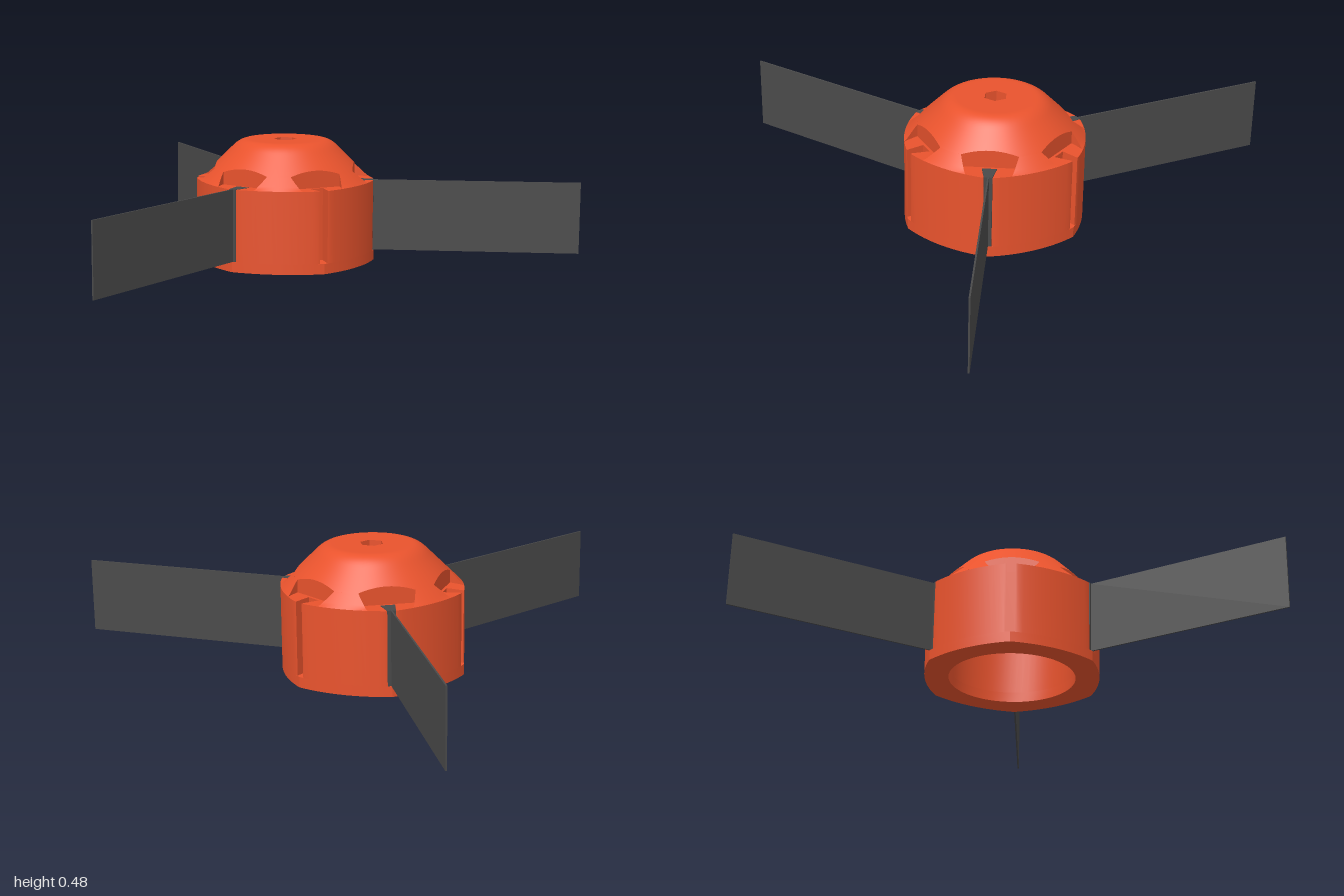
import * as THREE from 'three';
import { toCreasedNormals, mergeVertices } from 'three/addons/utils/BufferGeometryUtils.js';

const RAD = Math.PI / 180, SIXTH = Math.PI / 3;
const HUB_Z = -0.289, RIM_Y = 0.32, BASE_Y = 0.04;
const POCKET_R = 0.27, POCKET_IN = 21 * RAD, POCKET_OUT = 14 * RAD;

// angle from the nearest of the six corners (angles start at +z, towards +x)
const fromCorner = (t) => Math.abs(t - Math.round(t / SIXTH) * SIXTH);

// six-sided outline with bulging sides
function outline(t) {
  const p = SIXTH / 2 - fromCorner(t), d = 0.2, rho = 0.537;
  return -d * Math.cos(p) + Math.sqrt(rho * rho - (d * Math.sin(p)) ** 2);
}

// height of the cap: flat top, rounded shoulder, 45 degree slope
function capY(r) {
  if (r <= 0.15) return 0.478;
  if (r >= 0.205) return Math.max(RIM_Y, 0.657 - r);
  const k = (r - 0.15) / 0.055;
  return 0.478 - 0.026 * k * k;
}

const polar = (r, t, y) => [r * Math.sin(t), y, r * Math.cos(t)];

// surface from a rule f(u, v), facing du x dv
function surface(f, nu, nv) {
  const pos = [], idx = [];
  for (let i = 0; i <= nu; i++)
    for (let j = 0; j <= nv; j++) pos.push(...f(i / nu, j / nv));
  for (let i = 0; i < nu; i++)
    for (let j = 0; j < nv; j++) {
      const a = i * (nv + 1) + j, b = a + nv + 1;
      idx.push(a, b, a + 1, b, b + 1, a + 1);
    }
  const g = new THREE.BufferGeometry();
  g.setAttribute('position', new THREE.Float32BufferAttribute(pos, 3));
  g.setIndex(idx);
  const merged = mergeVertices(g, 1e-5);
  merged.computeVertexNormals();
  return merged;
}

// plan outline with the round bore, optionally with the six dovetail slots
function hubShape(slots) {
  const pts = [];
  for (let k = 0; k < 6; k++) {
    const c = k * SIXTH;
    const at = (side, out) => new THREE.Vector2(
      out * Math.sin(c) + side * Math.cos(c), out * Math.cos(c) - side * Math.sin(c));
    if (slots) pts.push(at(-0.016, 0.349), at(-0.028, 0.28), at(0.028, 0.28), at(0.016, 0.349));
    else pts.push(at(0, outline(0)));
    for (let j = 1; j < 16; j++) {
      const t = c + (4 + (j - 1) * 52 / 14) * RAD;
      const r = outline(t);
      pts.push(new THREE.Vector2(r * Math.sin(t), r * Math.cos(t)));
    }
  }
  const shape = new THREE.Shape(pts);
  shape.holes.push(new THREE.Path().absarc(0, 0, 0.245, 0, Math.PI * 2, true));
  return shape;
}

// extrude a plan shape (x, z) between two heights
function slab(shape, y0, y1) {
  const g = new THREE.ExtrudeGeometry(shape, { depth: y1 - y0, bevelEnabled: false, curveSegments: 32 });
  g.rotateX(Math.PI / 2).translate(0, y1, 0);
  return g;
}

export function createModel() {
  const model = new THREE.Group();
  model.name = 'finnedHub';
  const orange = new THREE.MeshStandardMaterial({ color: 0xe9532d, side: THREE.DoubleSide });
  const dark = new THREE.MeshStandardMaterial({ color: 0x4a4a4a });

  const hub = new THREE.Group();
  hub.name = 'hub';
  hub.position.z = HUB_Z;
  model.add(hub);
  const add = (name, geo, mat = orange, parent = hub) => {
    const m = new THREE.Mesh(geo, mat);
    m.name = name;
    parent.add(m);
    return m;
  };

  // ring walls
  add('baseRing', toCreasedNormals(slab(hubShape(false), 0, BASE_Y), 0.3));
  add('slottedRing', toCreasedNormals(slab(hubShape(true), BASE_Y, RIM_Y), 0.3));

  // cap, from the hexagonal hole out to the pocket backs
  const edge = (t) => POCKET_R / Math.cos(Math.min(fromCorner(t), POCKET_IN));
  add('cap', surface((u, v) => {
    const t = v * Math.PI * 2;
    const hole = 0.039 / Math.cos(SIXTH / 2 - fromCorner(t));
    const r = hole + (edge(t) - hole) * u;
    return polar(r, t, capY(r));
  }, 28, 120));

  // six ribs between six pockets
  const ribInner = POCKET_R / Math.cos(POCKET_IN);
  const ribPoint = (u, s) => {
    const a = POCKET_IN + (POCKET_OUT - POCKET_IN) * u;
    const t = a + (SIXTH - 2 * a) * s;
    return [ribInner + (outline(t) - ribInner) * u, t];
  };
  const rib = surface((u, v) => {
    const [r, t] = ribPoint(u, v);
    return polar(r, t, capY(r));
  }, 6, 16);
  const pocketBack = surface((u, v) => {
    const t = (2 * v - 1) * POCKET_IN, r = edge(t);
    return polar(r, t, capY(r) + (RIM_Y - capY(r)) * u);
  }, 1, 14);
  const pocketSide = (s) => surface((u, v) => {
    const [r, t] = ribPoint(u, s);
    const w = s ? v : 1 - v;
    return polar(r, t, RIM_Y + (capY(r) - RIM_Y) * (1 - w));
  }, 6, 1);
  const sides = [pocketSide(0), pocketSide(1)];
  for (let k = 0; k < 6; k++) {
    const sector = new THREE.Group();
    sector.name = 'capSector';
    sector.rotation.y = k * SIXTH;
    hub.add(sector);
    add('rib', rib, orange, sector);
    add('pocketBack', pocketBack, orange, sector);
    sides.forEach((g) => add('pocketSide', g, orange, sector));
  }

  // underside of the cap and hexagonal hole
  const ceiling = [[0.245, 0.315], [0.245, 0.33], [0.14, 0.42], [0.041, 0.42]]
    .map(([x, y]) => new THREE.Vector2(x, y));
  add('ceiling', toCreasedNormals(new THREE.LatheGeometry(ceiling, 64), 0.4));
  const hole = new THREE.CylinderGeometry(0.045, 0.045, 0.058, 6, 1, true);
  add('hexHole', toCreasedNormals(hole.translate(0, 0.449, 0), 0.3));

  // three thin fins with dovetail roots, in every second slot
  const half = [[0.027, 0.281], [0.015, 0.35], [0.003, 0.35], [0.003, 1.1547]];
  const plan = [...half, ...half.map(([x, z]) => [-x, z]).reverse()];
  const finGeo = slab(new THREE.Shape(plan.map((p) => new THREE.Vector2(...p))), BASE_Y, RIM_Y + 0.001);
  for (let k = 0; k < 3; k++) add('fin', finGeo, dark).rotation.y = k * 2 * SIXTH;

  return model;
}
